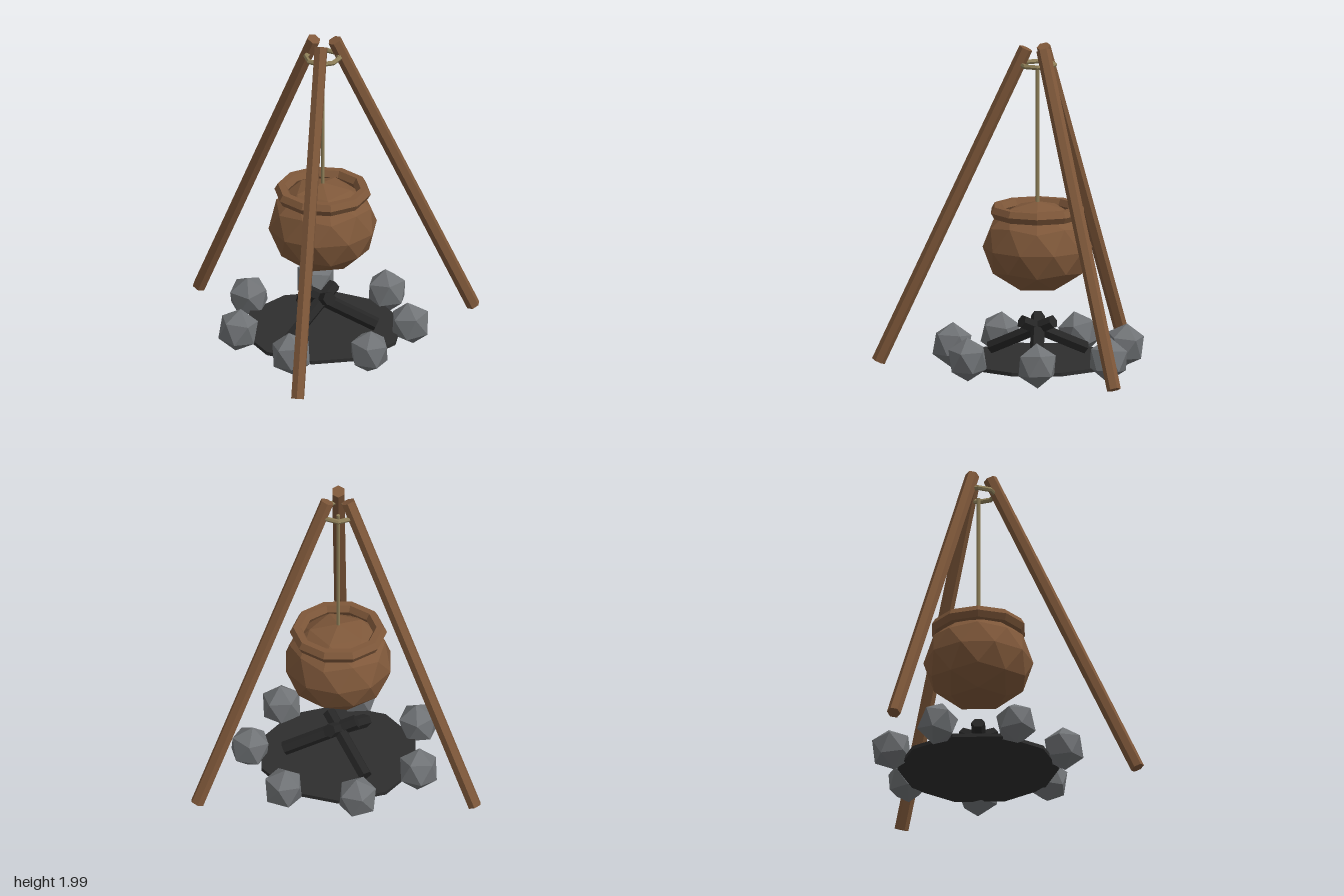
import * as THREE from 'three';

export function createModel() {
  const root = new THREE.Group();
  root.name = 'campfireWithCauldron';
  const mat = (name, color) => {
    const m = new THREE.MeshStandardMaterial({ color, flatShading: true });
    m.name = name;
    return m;
  };
  const wood = mat('brown', 0x7f583a);
  const rope = mat('rope', 0x8f8059);
  const stone = mat('stoneGrey', 0x707376);
  const char = mat('charcoal', 0x262626);
  const ash = mat('ash', 0x2e2e2e);

  const CX = -0.015, CZ = -0.19; // middle of the fire
  const V = (x, y, z) => new THREE.Vector3(x, y, z);

  const add = (name, geo, material, x = 0, y = 0, z = 0, parent = root) => {
    const mesh = new THREE.Mesh(geo, material);
    mesh.name = name;
    mesh.position.set(x, y, z);
    parent.add(mesh);
    return mesh;
  };

  // Straight pole between two points
  const pole = (name, a, b, r, sides, material, parent) => {
    const geo = new THREE.CylinderGeometry(r, r, a.distanceTo(b), sides);
    const mid = a.clone().add(b).multiplyScalar(0.5);
    const mesh = add(name, geo, material, mid.x, mid.y, mid.z, parent);
    mesh.quaternion.setFromUnitVectors(V(0, 1, 0), b.clone().sub(a).normalize());
    return mesh;
  };

  // Icosahedron with one corner pointing straight up
  const uprightIco = (detail) =>
    new THREE.IcosahedronGeometry(1, detail)
      .rotateZ(Math.atan2(1, (1 + Math.sqrt(5)) / 2))
      .rotateY(Math.PI);

  // Tripod legs
  pole('frontLeg', V(-0.035, 0.065, 0.765), V(-0.015, 1.985, -0.12), 0.042, 6, wood);
  pole('leftLeg', V(0.832, 0.065, -0.66), V(0.052, 1.985, -0.225), 0.042, 6, wood);
  pole('rightLeg', V(-0.832, 0.065, -0.69), V(-0.072, 1.985, -0.225), 0.042, 6, wood);

  // Binding ring and hanging rope
  add('bindingRing', new THREE.TorusGeometry(0.103, 0.015, 6, 8).rotateX(Math.PI / 2),
    rope, CX, 1.885, CZ);
  pole('hangingRope', V(CX, 1.03, CZ), V(CX, 1.86, CZ), 0.012, 6, rope);

  // Cauldron body with a flattened base
  const body = uprightIco(1);
  const p = body.attributes.position;
  for (let i = 0; i < p.count; i++) p.setY(i, Math.max(p.getY(i), -0.851));
  body.scale(0.33, 0.28, 0.33);
  body.computeVertexNormals();
  add('cauldronBody', body, wood, CX, 0.77, CZ);
  add('cauldronRim', new THREE.TorusGeometry(0.25, 0.042, 6, 10).rotateX(Math.PI / 2),
    wood, CX, 0.99, CZ);

  // Ash bed
  add('ashBed', new THREE.CylinderGeometry(0.485, 0.485, 0.022, 10), ash, CX, 0.08, CZ);

  // Charred logs leaning across one another
  const logs = new THREE.Group();
  logs.name = 'logs';
  root.add(logs);
  for (let i = 0; i < 3; i++) {
    const a = (i * Math.PI * 2) / 3;
    const at = (r, y) => V(CX + r * Math.cos(a), y, CZ + r * Math.sin(a));
    pole('log', at(0.325, 0.125), at(-0.11, 0.325), 0.042, 6, char, logs);
  }

  // Ring of stones: x, z, turn
  const stones = new THREE.Group();
  stones.name = 'stoneRing';
  root.add(stones);
  [
    [0.515, -0.195, 0.2], [0.325, 0.225, 0.9], [-0.135, 0.325, 0.4], [-0.495, 0.04, 0.3],
    [-0.495, -0.43, 1.1], [-0.13, -0.71, 0.6], [0.315, -0.62, 0.0],
  ].forEach(([x, z, turn], i) => {
    const geo = uprightIco(0).scale(0.128, 0.136, 0.128);
    const s = add('stone', geo, stone, x, 0.147, z, stones);
    s.rotation.set(0.12 * Math.sin(i * 2), turn, 0.12 * Math.cos(i * 3));
  });

  return root;
}
